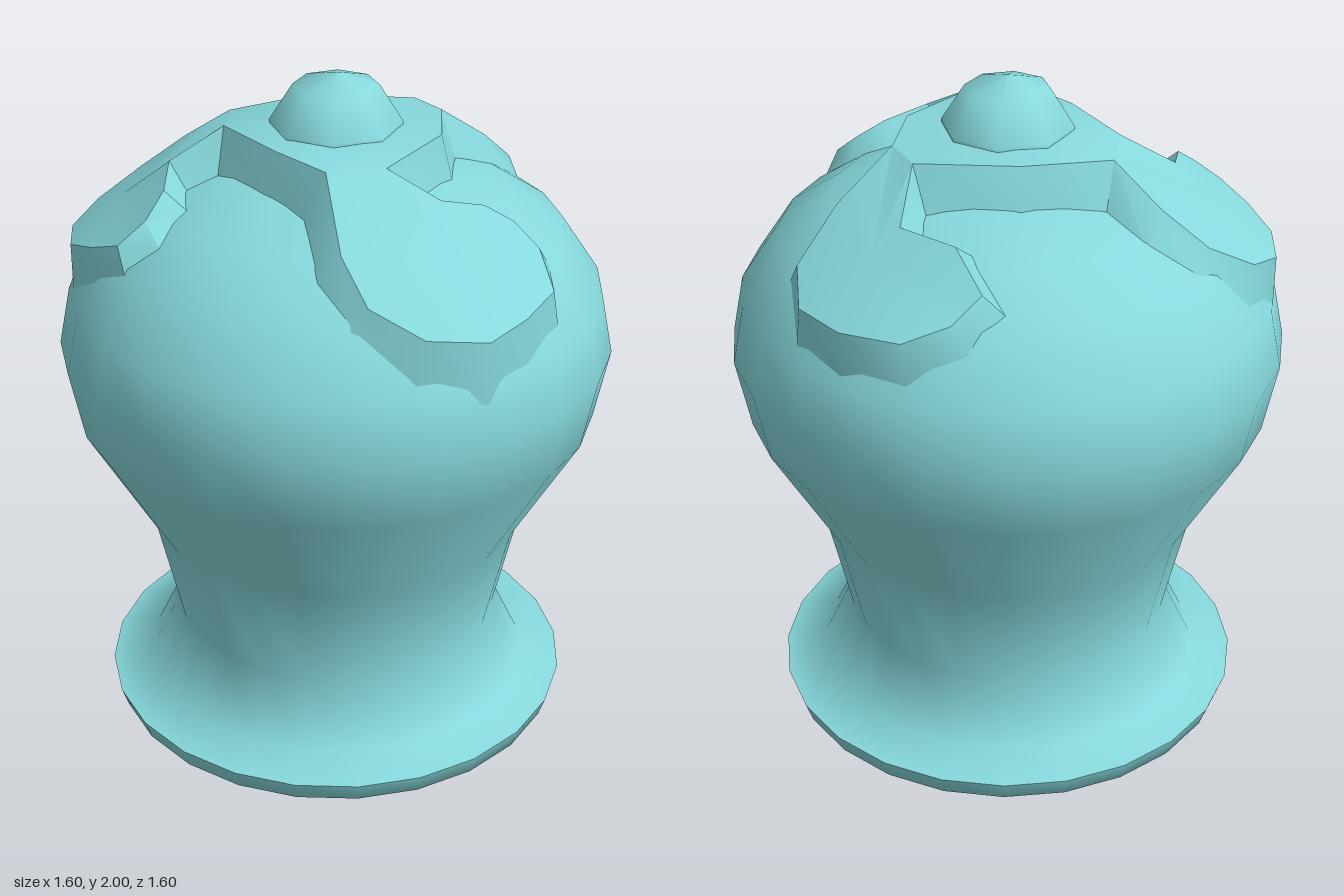
import * as THREE from 'three';
import { toCreasedNormals } from 'three/addons/utils/BufferGeometryUtils.js';

const material = new THREE.MeshStandardMaterial({ color: 0x86d8dc, side: THREE.DoubleSide });

// Profiles are [radius, height] from bottom to top
const BODY = [[0.705, 0.09], [0.58, 0.12], [0.49, 0.31], [0.565, 0.65], [0.76, 1.0], [0.8, 1.21],
  [0.765, 1.38], [0.65, 1.55], [0.5, 1.65], [0.3, 1.73], [0, 1.76]];
const FOOT = [[0.62, 0], [0.685, 0.03], [0.705, 0.09]];
const KNOB = [[0.18, 1.83], [0.187, 1.86], [0.12, 1.965], [0, 2.0]];

// Height of the ornament's top and of the body's shoulder at a radius
const CAP_TOP = [[0, 1.865], [0.33, 1.84], [0.46, 1.755], [0.63, 1.62], [0.77, 1.51]];
const SHOULDER = BODY.slice(5).reverse();

function heightAt(table, r) {
  let i = 1;
  while (i < table.length - 1 && table[i][0] < r) i++;
  const [r0, y0] = table[i - 1], [r1, y1] = table[i];
  return y0 + (y1 - y0) * (r - r0) / (r1 - r0);
}

// Three hooked lobes, outlined from above as [x, z] from neck to neck, each fanned about a centre
const LOBES = [
  { centre: [0.1, 0.56], outline: [[0.02, 0.33], [0.14, 0.42], [0.27, 0.41], [0.35, 0.43], [0.4, 0.49], [0.39, 0.61],
    [0.27, 0.7], [0.14, 0.76], [-0.03, 0.74], [-0.15, 0.64], [-0.175, 0.51], [-0.14, 0.3]] },
  { centre: [-0.56, -0.2], outline: [[-0.29, -0.115], [-0.445, -0.135], [-0.5, 0], [-0.57, 0.055], [-0.65, 0.05],
    [-0.7, -0.05], [-0.73, -0.175], [-0.69, -0.32], [-0.59, -0.41], [-0.45, -0.43], [-0.33, -0.37], [-0.23, -0.255]] },
  { centre: [0.46, -0.36], outline: [[0.3, -0.155], [0.37, -0.32], [0.25, -0.44], [0.21, -0.57], [0.3, -0.61],
    [0.43, -0.595], [0.57, -0.48], [0.65, -0.34], [0.63, -0.2], [0.5, -0.1], [0.33, -0.03]] },
];
// Hub points that link one lobe's end to the next lobe's start
const LINKS = [[-0.22, 0.13], [0.03, -0.265], [0.25, 0.16]];

function lathe(name, profile, sides, start = 0) {
  const points = profile.map(([r, y]) => new THREE.Vector2(r, y));
  const mesh = new THREE.Mesh(new THREE.LatheGeometry(points, sides, start), material);
  mesh.name = name;
  return mesh;
}

function lobedCap() {
  const positions = [];
  const add = (...corners) => corners.forEach((c) => positions.push(...c));
  const top = ([x, z]) => [x, heightAt(CAP_TOP, Math.hypot(x, z)), z];
  const fan = (centre, ring, closed) => ring.forEach((p, i) => {
    if (closed || i < ring.length - 1) add(top(centre), top(ring[(i + 1) % ring.length]), top(p));
  });

  // Upper surface: lobes and hub
  const hub = [], rim = [];
  LOBES.forEach(({ centre, outline }, i) => {
    fan(centre, [...outline, outline[0]], false);
    hub.push(outline[0], outline[outline.length - 1], LINKS[i]);
    rim.push(...outline, LINKS[i]);
  });
  fan([0, 0], hub, true);

  // Lower edge: spread sideways, kept from spreading past the lobe tips, sunk into the shoulder
  const lower = rim.map(([x, z], i) => {
    const [ax, az] = rim[(i + rim.length - 1) % rim.length], [bx, bz] = rim[(i + 1) % rim.length];
    const length = Math.hypot(bx - ax, bz - az), r = Math.hypot(x, z);
    const nx = (bz - az) / length, nz = (ax - bx) / length;
    const outward = Math.max(0, (nx * x + nz * z) / r) * Math.min(1, r / 0.6);
    const px = x + 0.075 * (nx - outward * x / r), pz = z + 0.075 * (nz - outward * z / r);
    return [px, heightAt(SHOULDER, Math.hypot(px, pz)) - 0.015, pz];
  });

  // Side walls
  rim.forEach((p, i) => {
    const j = (i + 1) % rim.length;
    const a = top(p), b = top(rim[j]);
    add(a, b, lower[i], b, lower[j], lower[i]);
  });

  const geometry = new THREE.BufferGeometry();
  geometry.setAttribute('position', new THREE.Float32BufferAttribute(positions, 3));
  const mesh = new THREE.Mesh(toCreasedNormals(geometry, 0.6), material);
  mesh.name = 'lobedCap';
  return mesh;
}

export function createModel() {
  const group = new THREE.Group();
  group.name = 'urn';
  group.add(
    lathe('footRim', FOOT, 24),
    lathe('body', BODY, 24),
    lobedCap(),
    lathe('knob', KNOB, 8, Math.PI / 8),
  );
  return group;
}
